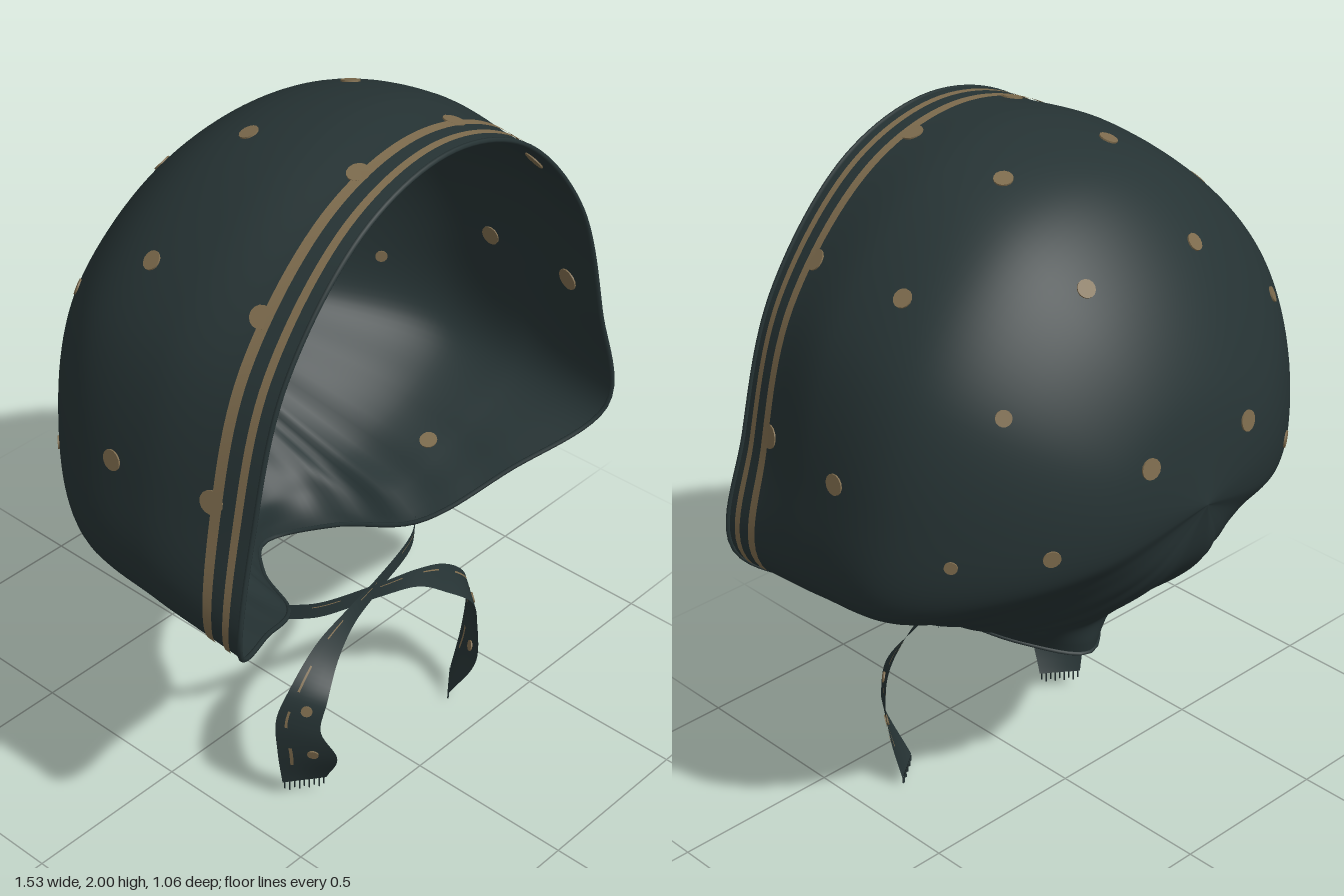
import * as THREE from 'three';

const vectors = (points) => points.map(([x, y, z]) => new THREE.Vector3(x, y, z));
const POLE = new THREE.Vector3(0, 1.15, -.525);

// Half contours from the crown down the +x side to the nape: the front rim and the widest section
const RIM = vectors([[0, 1.99, .51], [.3, 1.9, .51], [.57, 1.6, .51], [.69, 1.22, .515], [.745, .88, .52],
  [.5, .72, .38], [.27, .59, .24], [.15, .535, .03], [0, .495, -.1]]);
const BELLY = vectors([[0, 2, .18], [.33, 1.915, .18], [.64, 1.61, .18], [.747, 1.22, .18], [.742, .9, .2],
  [.52, .745, .18], [.29, .63, .12], [.16, .6, -.06], [0, .6, -.12]]);

// Back section: the belly shrunk towards the pole, its depth going from crown to nape
const backLoop = (sx, sy, zCrown, zNape, bulge) => BELLY.map((p, k) => new THREE.Vector3(
  p.x * sx, POLE.y + (p.y - POLE.y) * sy,
  zCrown + (zNape - zCrown) * (k / 8) ** 8 + bulge * Math.exp(-((k - 5) ** 2) / 2)));

const LOOPS = [
  RIM,
  RIM.map((p, k) => p.clone().lerp(BELLY[k], .33)),
  BELLY,
  backLoop(.97, .91, -.1, -.17, .07),
  backLoop(.77, .69, -.31, -.29, .07),
  backLoop(.44, .36, -.47, -.46, .04),
].map((half) => {
  const mirrored = half.slice(1, -1).reverse().map((p) => new THREE.Vector3(-p.x, p.y, p.z));
  return new THREE.CatmullRomCurve3([...half, ...mirrored], true);
});

// Point on the bonnet: u = 0..16 around (0 crown, 8 nape), v = 0..6 from rim to back
function surface(u, v) {
  const t = (((u % 16) + 16) % 16) / 16;
  const curve = new THREE.CatmullRomCurve3([...LOOPS.map((l) => l.getPoint(t)), POLE]);
  const p = curve.getPoint(v / 6);
  // gathered pleats fanning out of the tied lower corners
  const s = Math.min(t, 1 - t) * 16;
  const pleat = .016 * Math.exp(-(((s - 6.2) / 0.9) ** 2)) * Math.sin(s * 9) * Math.sin(Math.PI * v / 6);
  p.x *= 1 + pleat;
  p.y = POLE.y + (p.y - POLE.y) * (1 + pleat);
  return p;
}

function surfaceNormal(u, v) {
  const e = .03;
  const du = surface(u + e, v).sub(surface(u - e, v));
  const dv = surface(u, Math.min(6, v + e)).sub(surface(u, Math.max(0, v - e)));
  return du.cross(dv).normalize();
}

// Smooth grid geometry from a function f(i, j) with i, j in 0..1
function grid(f, nu, nv, closed = false) {
  const pos = [], index = [];
  const cols = closed ? nu : nu + 1;
  for (let j = 0; j <= nv; j++)
    for (let i = 0; i < cols; i++) pos.push(...f(i / nu, j / nv).toArray());
  for (let j = 0; j < nv; j++)
    for (let i = 0; i < nu; i++) {
      const a = j * cols + i, b = j * cols + (i + 1) % cols;
      index.push(a, b, a + cols, b, b + cols, a + cols);
    }
  const g = new THREE.BufferGeometry();
  g.setAttribute('position', new THREE.Float32BufferAttribute(pos, 3));
  g.setIndex(index);
  g.computeVertexNormals();
  return g;
}

export function createModel() {
  const group = new THREE.Group();
  group.name = 'bonnet';
  const cloth = new THREE.MeshStandardMaterial({ color: 0x263334, side: THREE.DoubleSide });
  cloth.name = 'dark green cloth';
  const tan = new THREE.MeshStandardMaterial({ color: 0x7d6b4d, side: THREE.DoubleSide });
  tan.name = 'tan print';
  const add = (geometry, material, name) => {
    const m = new THREE.Mesh(geometry, material);
    m.name = name;
    group.add(m);
    return m;
  };
  // Thin disc through the cloth, seen from both sides
  const addDot = (radius, position, normal, name) => {
    const dot = add(new THREE.CylinderGeometry(radius, radius, .008, 14), tan, name);
    dot.position.copy(position);
    dot.quaternion.setFromUnitVectors(new THREE.Vector3(0, 1, 0), normal);
  };

  // Cap and its bound edge
  add(grid((i, j) => surface(i * 16, j * 6), 160, 60, true), cloth, 'cap');
  add(new THREE.TubeGeometry(LOOPS[0], 160, .007, 6, true), cloth, 'edgeBinding');

  // Printed bands lying just above the cloth
  const band = (u0, u1, v0, v1, n, name) => add(grid((i, j) => {
    const u = u0 + (u1 - u0) * i, v = v0 + (v1 - v0) * j;
    return surface(u, v).addScaledVector(surfaceNormal(u, v), .004);
  }, n, 3), tan, name);
  band(-4.1, 4.1, .33, .54, 90, 'frontStripe');
  band(-4.1, 4.1, .87, 1.07, 90, 'backStripe');
  for (const s of [-1, 1]) band(s * 4.75, s * 5.3, .9, 1.25, 8, 'lowerStripe');

  // Printed dots, set at the surface point nearest to each x, y, z with radius r
  const samples = [];
  for (let u = 0; u <= 8; u += .08)
    for (let v = .2; v < 6; v += .08) samples.push({ u, v, p: surface(u, v) });
  const dots = [
    [.19, 1.76, -.29, .025], [.5, 1.52, -.29, .022], [.18, 1.31, -.48, .029], [.44, 1.13, -.39, .024],
    [.63, 1.12, -.22, .018], [.19, 1.97, .035, .026], [.56, 1.74, .03, .026], [.74, 1.27, .07, .029],
    [.18, 1.97, .385, .03], [.53, 1.74, .385, .03], [.71, 1.28, .395, .033], [.45, .7, .12, .026],
  ];
  for (const [x, y, z, r] of dots) {
    const target = new THREE.Vector3(x, y, z);
    const { u, v } = samples.reduce((best, s) =>
      s.p.distanceToSquared(target) < best.p.distanceToSquared(target) ? s : best);
    for (const side of [1, -1]) addDot(r, surface(side * u, v), surfaceNormal(side * u, v), 'dot');
  }

  // Tie ribbons: each starts at one corner, crosses under the chin and hangs on the other side
  const outer = vectors([[-.27, .605, .235], [-.2, .6, .28], [0, .58, .325], [.14, .56, .34], [.26, .515, .34],
    [.37, .42, .335], [.405, .33, .32], [.395, .2, .315], [.365, .06, .305]]);
  const inner = vectors([[-.29, .56, .22], [-.2, .55, .28], [0, .535, .33], [.13, .515, .36], [.22, .46, .385],
    [.31, .385, .42], [.335, .3, .42], [.3, .2, .45], [.265, .06, .38]]);
  for (const side of [1, -1]) {
    const drop = side > 0 ? .03 : 0;
    const edge = (points) => new THREE.CatmullRomCurve3(points.map((p, k) =>
      new THREE.Vector3(side * p.x, p.y - drop * k / 8, p.z + (k < 5 ? side * .006 : 0))));
    const a = edge(outer), b = edge(inner);
    const at = (t, w) => a.getPoint(t).lerp(b.getPoint(t), w);
    const normal = (t, w) => at(Math.min(1, t + .01), w).sub(at(Math.max(0, t - .01), w))
      .cross(b.getPoint(t).sub(a.getPoint(t))).normalize();
    const patch = (t0, t1, w0, w1, off) => grid((i, j) => {
      const t = t0 + (t1 - t0) * i, w = w0 + (w1 - w0) * j;
      return at(t, w).addScaledVector(normal(t, w), off);
    }, Math.ceil(60 * (t1 - t0)) + 2, 3);
    add(patch(0, 1, 0, 1, 0), cloth, 'tieRibbon');
    // broken printed line near the ribbon edge, on both faces
    for (const off of [.003, -.003])
      for (let k = 0; k < 6; k++) add(patch(.1 + k * .15, .17 + k * .15, .2, .26, off), tan, 'tieStripe');
    for (const t of [.68, .87]) addDot(.016, at(t, .6), normal(t, .6), 'tieDot');
    // frayed threads at the ribbon end
    for (let k = 0; k < 9; k++) {
      const length = k % 2 ? .03 : .022;
      const thread = add(new THREE.BoxGeometry(.003, length, .003), cloth, 'fringe');
      thread.position.copy(at(1, (k + .5) / 9));
      thread.position.y -= length / 2;
    }
  }
  return group;
}
